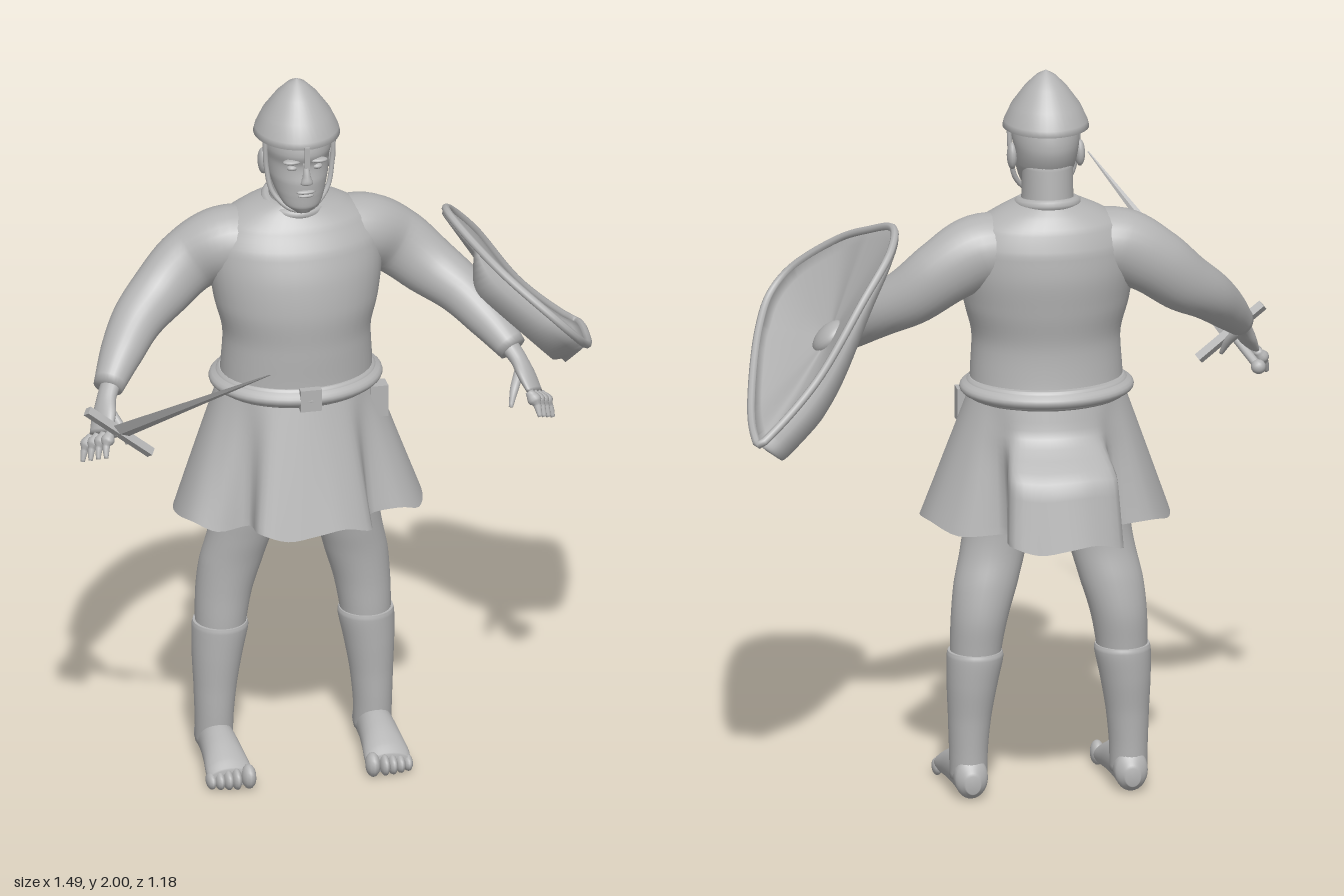
import * as THREE from 'three';

const V = (x, y, z) => new THREE.Vector3(x, y, z);
const steel = new THREE.MeshStandardMaterial({ color: 0xb4b4b4, side: THREE.DoubleSide });
steel.name = 'plainGrey';
const UP = V(0, 1, 0), FRONT = V(0, 0, 1);

function add(parent, name, geometry, pos = [0, 0, 0], scale = [1, 1, 1]) {
  const m = new THREE.Mesh(geometry, steel);
  m.name = name;
  m.position.set(...pos);
  m.scale.set(...scale);
  parent.add(m);
  return m;
}

// Closed rings of points joined into a smooth skin, optionally capped
function skin(rows, caps = false) {
  const pos = [], idx = [], n = rows[0].length;
  rows.forEach(r => r.forEach(p => pos.push(p.x, p.y, p.z)));
  for (let i = 0; i < rows.length - 1; i++) for (let j = 0; j < n; j++) {
    const a = i * n + j, b = i * n + (j + 1) % n;
    idx.push(a, b, a + n, b, b + n, a + n);
  }
  if (caps) [0, rows.length - 1].forEach((i, end) => {
    const c = rows[i].reduce((s, p) => s.add(p), V(0, 0, 0)).divideScalar(n);
    const k = pos.length / 3;
    pos.push(c.x, c.y, c.z);
    for (let j = 0; j < n; j++) {
      const a = i * n + j, b = i * n + (j + 1) % n;
      end ? idx.push(a, b, k) : idx.push(b, a, k);
    }
  });
  const g = new THREE.BufferGeometry();
  g.setAttribute('position', new THREE.Float32BufferAttribute(pos, 3));
  g.setIndex(idx);
  g.computeVertexNormals();
  return g;
}

// Elliptical sweep through [x, y, z, radiusAcross, radiusAlongRef]
function sweep(pts, { ref = FRONT, dir = null, side = 1, steps = 6, n = 28 } = {}) {
  const path = new THREE.CatmullRomCurve3(pts.map(p => V(p[0] * side, p[1], p[2])));
  const radii = new THREE.CatmullRomCurve3(pts.map(p => V(p[3], p[4] ?? p[3], 0)));
  const rows = [], total = (pts.length - 1) * steps;
  for (let i = 0; i <= total; i++) {
    const c = path.getPoint(i / total), r = radii.getPoint(i / total);
    const t = dir ? dir.clone() : path.getTangent(i / total);
    const u = ref.clone().cross(t).normalize(), v = t.clone().cross(u);
    rows.push(Array.from({ length: n }, (_, j) => {
      const a = j / n * Math.PI * 2;
      return c.clone().addScaledVector(u, r.x * Math.cos(a)).addScaledVector(v, r.y * Math.sin(a));
    }));
  }
  return skin(rows, true);
}

// Upright loft from [y, halfWidth, frontZ, backZ]
const upright = (levels, n = 40) => sweep(
  levels.map(([y, w, f, b]) => [0, y, (f + b) / 2, w, (f - b) / 2]), { dir: UP, n });

function makeSkirt() {
  // Half of the hem, from front centre to back centre
  const half = [[0, .035], [.08, .03], [.155, .005], [.165, -.07], [.25, -.075], [.31, -.11], [.335, -.18],
    [.325, -.28], [.26, -.37], [.135, -.41], [.155, -.55], [.08, -.585], [0, -.595]];
  const hem = [...half, ...half.slice(1, -1).reverse().map(([x, z]) => [-x, z])];
  const rows = [];
  for (let i = 0; i <= 16; i++) {
    const t = 1 - i / 16;
    const ring = hem.map(([x, z], k) => {
      const a = k / 24 * Math.PI * 2, flap = Math.abs(k - 12) < 3;
      // The back flap stands out below the seat
      const w = flap ? THREE.MathUtils.smoothstep(t, .22, .55) * .58 + t * .42 : t;
      return V(THREE.MathUtils.lerp(.21 * Math.sin(a), x, w),
        1.115 - .352 * t + .012 * t * t * Math.sin(k * 2.1),
        THREE.MathUtils.lerp(-.235 + .17 * Math.cos(a), z, w));
    });
    const curve = new THREE.CatmullRomCurve3(ring, true);
    rows.push(Array.from({ length: 96 }, (_, j) => curve.getPoint(j / 96)));
  }
  return skin(rows);
}

function makeHead(body) {
  const head = new THREE.Group();
  head.name = 'head';
  body.add(head);
  add(head, 'neck', upright([[1.58, .085, -.15, -.34], [1.65, .07, -.165, -.33], [1.76, .068, -.18, -.32]]));
  add(head, 'skull', upright([[1.645, .022, -.125, -.17], [1.665, .05, -.112, -.21], [1.70, .068, -.108, -.27],
    [1.74, .08, -.107, -.315], [1.785, .086, -.113, -.335], [1.82, .09, -.102, -.337], [1.89, .08, -.12, -.32]]));
  add(head, 'nose', sweep([[0, 1.80, -.11, .008, .008], [0, 1.765, -.1, .011, .012], [0, 1.745, -.098, .017, .013],
    [0, 1.737, -.106, .008, .006]], { dir: V(0, -1, 0), n: 12 }));
  add(head, 'upperLip', new THREE.SphereGeometry(1, 12, 8), [0, 1.714, -.109], [.026, .006, .009]);
  add(head, 'lowerLip', new THREE.SphereGeometry(1, 12, 8), [0, 1.703, -.11], [.022, .006, .008]);
  for (const s of [-1, 1]) {
    add(head, 'eye', new THREE.SphereGeometry(1, 14, 10), [s * .034, 1.782, -.125], [.015, .008, .012]);
    add(head, 'brow', new THREE.SphereGeometry(1, 14, 8), [s * .036, 1.803, -.117], [.026, .007, .015]);
    add(head, 'ear', new THREE.SphereGeometry(1, 14, 10), [s * .092, 1.765, -.225], [.014, .037, .024]);
    add(head, 'chinStrap', new THREE.TubeGeometry(new THREE.CatmullRomCurve3([
      V(s * .094, 1.84, -.19), V(s * .09, 1.76, -.19), V(s * .075, 1.69, -.18), V(s * .035, 1.648, -.16),
      V(0, 1.64, -.15)]), 24, .007, 8));
  }
  // Pointed helmet with a nose guard
  const profile = [[.1, 1.85], [.107, 1.842], [.116, 1.845], [.112, 1.862], [.092, 1.905], [.056, 1.955],
    [.025, 1.986], [0, 2]].map(p => new THREE.Vector2(...p));
  add(head, 'helmet', new THREE.LatheGeometry(profile, 40), [0, 0, -.222], [1, 1, 1.1]);
  add(head, 'noseGuard', new THREE.BoxGeometry(.014, .06, .008), [0, 1.823, -.092]);
}

function makeArm(body, s) {
  const arm = new THREE.Group();
  arm.name = s > 0 ? 'leftArm' : 'rightArm';
  body.add(arm);
  add(arm, 'sleeve', sweep([[.08, 1.52, -.25, .09, .11], [.19, 1.515, -.265, .1, .1], [.28, 1.47, -.275, .093, .078],
    [.365, 1.4, -.25, .083, .074], [.44, 1.345, -.2, .07, .07], [.5, 1.285, -.13, .058, .06],
    [.555, 1.22, -.055, .04, .042]], { side: s }));
  const spread = V(-.06 * s, .04, .07);
  add(arm, 'palm', sweep([[.54, 1.235, -.07, .026, .03], [.565, 1.2, -.03, .022, .03], [.58, 1.165, .005, .02, .04],
    [.595, 1.13, .035, .014, .04]], { ref: spread, side: s, n: 18 }));
  for (let k = 0; k < 4; k++) {
    const f = k / 3, a = [.615 - .042 * f, 1.115 + .03 * f, .012 + .05 * f];
    const b = [.645 - .05 * f, 1.05 + .035 * f, .035 + .065 * f];
    const mid = a.map((c, i) => (c + b[i]) / 2 + (i === 0 ? .006 : 0));
    add(arm, 'finger', sweep([[...a, .011], [...mid, .011], [...b, .006]], { side: s, n: 10 }));
  }
  add(arm, 'thumb', sweep([[.565, 1.18, -.01, .014], [.54, 1.14, .03, .012], [.525, 1.1, .055, .006]],
    { side: s, n: 10 }));
}

function makeLeg(body, s) {
  const leg = new THREE.Group();
  leg.name = s > 0 ? 'leftLeg' : 'rightLeg';
  body.add(leg);
  const o = { dir: UP, side: s };
  add(leg, 'bareLeg', sweep([[.2, .36, -.267, .066, .07], [.197, .42, -.268, .07, .074], [.188, .5, -.27, .077, .078],
    [.17, .59, -.262, .086, .078], [.15, .67, -.248, .088, .078], [.137, .74, -.24, .09, .082],
    [.115, .95, -.235, .1, .1]], o));
  add(leg, 'boot', sweep([[.217, .05, -.265, .05, .058], [.217, .13, -.263, .052, .061], [.214, .22, -.264, .058, .065],
    [.208, .31, -.267, .068, .074], [.2, .39, -.268, .076, .079], [.2, .405, -.267, .073, .076]], o));
  add(leg, 'foot', sweep([[.217, .045, -.338, .02, .025], [.217, .058, -.31, .045, .057], [.217, .062, -.23, .048, .062],
    [.217, .053, -.15, .055, .053], [.217, .038, -.085, .062, .038], [.217, .03, -.055, .058, .026]],
  { ref: UP, dir: FRONT, side: s }));
  for (let k = 0; k < 5; k++) {
    const r = k ? .031 - k * .002 : .034;
    add(leg, 'toe', new THREE.SphereGeometry(1, 12, 10),
      [s * (k ? .181 + k * .022 : .17), r, -.05 - k * k * .0012], [k ? .014 : .02, r, .032]);
  }
}

function makeShield(root) {
  const shield = new THREE.Group();
  shield.name = 'shield';
  root.add(shield);
  const rim = new THREE.CatmullRomCurve3([V(.31, 1.57, -.2), V(.355, 1.53, -.07), V(.42, 1.475, .04), V(.535, 1.375, .12),
    V(.59, 1.315, .105), V(.635, 1.25, .02), V(.71, 1.12, -.28), V(.73, 1.085, -.45), V(.725, 1.075, -.495),
    V(.685, 1.105, -.487), V(.56, 1.23, -.447), V(.425, 1.425, -.385), V(.335, 1.535, -.3)], true);
  const centre = V(.484, 1.275, -.195), loop = rim.getPoints(96).slice(0, 96);
  const ring = (f, depth) => loop.map(p => {
    const deep = THREE.MathUtils.smoothstep(p.z, -.1, .05);
    const k = depth * Math.max(THREE.MathUtils.clamp((1.62 - p.y) / .45, .2, 1), deep * 1.2);
    return centre.clone().lerp(p, f).add(V(-.06 * k, -.05 * k, -.03 * k * deep));
  });
  // Dished face, rolled edge, then the back
  add(shield, 'shieldBoard', skin([ring(0, 0), ring(.5, .1), ring(.9, .12), ring(1, 0), ring(1, .4), ring(.99, 1),
    ring(.6, .7), ring(0, .4)]));
  add(shield, 'shieldRim', new THREE.TubeGeometry(rim, 120, .011, 8, true));
  const boss = add(shield, 'shieldBoss', new THREE.SphereGeometry(1, 24, 16), centre.toArray(), [.052, .058, .03]);
  boss.quaternion.setFromUnitVectors(FRONT, V(.72, .66, .1).normalize());
}

function makeSword(root) {
  // Local y runs along the blade, local x along the guard
  const sword = new THREE.Group();
  sword.name = 'sword';
  const y = V(.3, .37, .51).normalize(), x = V(.175, -.14, 0).normalize();
  x.addScaledVector(y, -x.dot(y)).normalize();
  sword.quaternion.setFromRotationMatrix(new THREE.Matrix4().makeBasis(x, y, x.clone().cross(y)));
  sword.position.set(-.655, 1.15, .08);
  root.add(sword);
  const blade = new THREE.CylinderGeometry(.002, .028, .695, 4).toNonIndexed();
  blade.computeVertexNormals();
  add(sword, 'blade', blade, [0, .3475, 0], [1, 1, .4]);
  add(sword, 'guard', new THREE.BoxGeometry(.225, .022, .022));
  add(sword, 'grip', new THREE.CylinderGeometry(.012, .012, .13, 12), [0, -.065, 0]);
  add(sword, 'pommel', new THREE.SphereGeometry(.02, 16, 12), [0, -.135, 0]);
}

export function createModel() {
  const root = new THREE.Group();
  root.name = 'warrior';
  const body = new THREE.Group();
  body.name = 'body';
  body.position.x = -.1;
  root.add(body);

  add(body, 'tunic', upright([[1.08, .208, -.065, -.405], [1.17, .205, -.065, -.39], [1.26, .2, -.062, -.385],
    [1.36, .222, -.058, -.4], [1.45, .235, -.07, -.41], [1.53, .235, -.095, -.405], [1.59, .2, -.13, -.385],
    [1.625, .14, -.155, -.36], [1.65, .078, -.165, -.335]]));
  const collar = add(body, 'collar', new THREE.TorusGeometry(.075, .016, 10, 36), [0, 1.638, -.247], [1, 1.1, 1]);
  collar.rotation.x = Math.PI / 2 + .15;
  add(body, 'skirt', makeSkirt());

  // Belt with its buckle and pouch
  add(body, 'belt', upright([[1.1, .207, -.062, -.408], [1.108, .216, -.055, -.415], [1.145, .216, -.055, -.415],
    [1.155, .207, -.062, -.408]], 48));
  add(body, 'buckle', new THREE.BoxGeometry(.058, .062, .022), [0, 1.128, -.052]);
  add(body, 'pouch', new THREE.BoxGeometry(.05, .09, .045), [.208, 1.062, -.16]);

  makeHead(body);
  for (const s of [-1, 1]) {
    makeArm(body, s);
    makeLeg(body, s);
  }
  makeShield(root);
  makeSword(root);
  return root;
}
